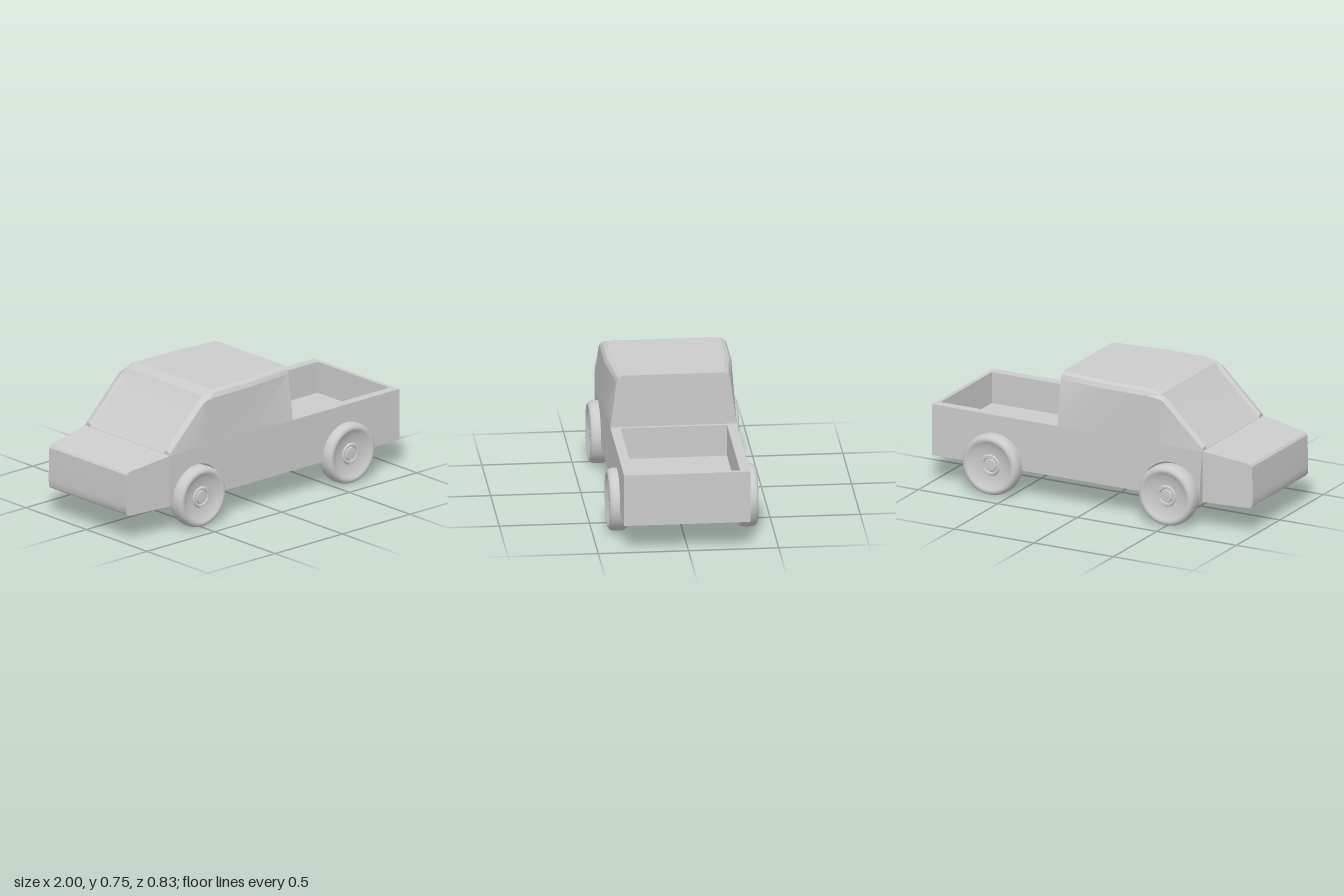
import * as THREE from 'three';
import { toCreasedNormals } from 'three/addons/utils/BufferGeometryUtils.js';

const HALF = 0.35, BASE = 0.16, DECK = 0.455;
const grey = new THREE.MeshStandardMaterial({ color: 0xcccccc });

function part(name, geometry, parent) {
  const mesh = new THREE.Mesh(geometry, grey);
  mesh.name = name;
  parent.add(mesh);
  return mesh;
}

// Side profile extruded across the full width of the body
function extrudeAcross(shape) {
  const g = new THREE.ExtrudeGeometry(shape, { depth: HALF * 2, bevelEnabled: false, curveSegments: 20 });
  return g.translate(0, 0, -HALF);
}

// Bonnet section, narrowing in plan towards the nose
function noseGeometry() {
  const pts = [[-0.7, BASE], [-0.7, DECK], [-0.97, 0.417], [-0.985, 0.413], [-0.995, 0.4],
    [-1, 0.22], [-0.998, 0.18], [-0.99, 0.167], [-0.975, BASE]];
  const g = extrudeAcross(new THREE.Shape(pts.map(p => new THREE.Vector2(...p))));
  const pos = g.attributes.position;
  for (let i = 0; i < pos.count; i++) {
    pos.setZ(i, pos.getZ(i) * (1 - 0.3 * (-0.7 - pos.getX(i))));
  }
  return toCreasedNormals(g, 0.6);
}

// Middle section with the front wheel arch cut through it
function sillGeometry() {
  const s = new THREE.Shape();
  s.moveTo(-0.7, BASE);
  s.absarc(-0.5, 0.18, 0.18, Math.PI + 0.111, -0.111, true);
  s.lineTo(0.21, BASE);
  s.lineTo(0.21, DECK);
  s.lineTo(-0.7, DECK);
  s.closePath();
  return toCreasedNormals(extrudeAcross(s), 0.6);
}

// Cab lofted from half-sections: x, then [z, y] of shoulder, rail and roof or glass edge
function cabGeometry() {
  const sections = [
    [-0.7, [0.348, 0.465], [0.315, 0.479], [0.3, 0.457]],
    [-0.45, [0.349, 0.705], [0.318, 0.724], [0.3, 0.7]],
    [-0.425, [0.35, 0.714], [0.328, 0.732], [0.308, 0.734]],
    [-0.36, [0.35, 0.72], [0.337, 0.744], [0.315, 0.755]],
    [-0.1, [0.35, 0.72], [0.337, 0.744], [0.315, 0.755]],
    [0.21, [0.315, 0.717], [0.305, 0.742], [0.283, 0.756]],
  ];
  const rings = sections.map(([x, ...edge]) => {
    const half = [[HALF, DECK], ...edge];
    return [...half.map(([z, y]) => [x, y, z]), ...half.reverse().map(([z, y]) => [x, y, -z])];
  });
  // Flattened end rings close the front and back
  const flat = ring => ring.map(([x, , z]) => [x, DECK, z]);
  const all = [flat(rings[0]), ...rings, flat(rings[rings.length - 1])];
  const v = [];
  for (let i = 0; i < all.length - 1; i++) {
    for (let j = 0; j < 7; j++) {
      const a = all[i][j], b = all[i + 1][j], c = all[i + 1][j + 1], d = all[i][j + 1];
      v.push(...a, ...b, ...c, ...a, ...c, ...d);
    }
  }
  const g = new THREE.BufferGeometry();
  g.setAttribute('position', new THREE.Float32BufferAttribute(v, 3));
  return toCreasedNormals(g, 0.3);
}

// Rim of the load bed: an outer rectangle with the opening cut out
function bedWallGeometry(floorY) {
  const rect = (T, x0, x1, z) => new T([[x0, -z], [x1, -z], [x1, z], [x0, z]]
    .map(p => new THREE.Vector2(...p)));
  const s = rect(THREE.Shape, 0.21, 1, HALF);
  s.holes.push(rect(THREE.Path, 0.23, 0.975, 0.295));
  const g = new THREE.ExtrudeGeometry(s, { depth: DECK - floorY, bevelEnabled: false });
  return g.rotateX(-Math.PI / 2).translate(0, floorY, 0);
}

// Wheel profile as radius and depth, from the inner face to the hub cap
function wheelGeometry() {
  const pts = [[0, 0.02], [0.11, 0.02], [0.135, 0], [0.155, 0], [0.169, 0.01], [0.174, 0.03],
    [0.175, 0.055], [0.173, 0.08], [0.167, 0.095], [0.157, 0.103], [0.145, 0.104], [0.136, 0.1],
    [0.112, 0.086], [0.062, 0.082], [0.057, 0.09], [0.044, 0.09], [0.039, 0.083],
    [0.035, 0.09], [0, 0.092]];
  const g = new THREE.LatheGeometry(pts.map(p => new THREE.Vector2(...p)), 36);
  return toCreasedNormals(g.rotateX(Math.PI / 2), 0.6);
}

export function createModel() {
  const truck = new THREE.Group();
  truck.name = 'pickupTruck';

  const body = new THREE.Group();
  body.name = 'body';
  body.position.z = 0.007;
  truck.add(body);
  part('nose', noseGeometry(), body);
  part('lowerBody', sillGeometry(), body);
  part('cab', cabGeometry(), body);

  const floorY = 0.275;
  part('bedWalls', bedWallGeometry(floorY), body);
  part('bedFloor', new THREE.BoxGeometry(0.79, floorY - BASE, HALF * 2), body)
    .position.set(0.605, (floorY + BASE) / 2, 0);

  // Front axle
  const axle = part('frontAxle', new THREE.CylinderGeometry(0.08, 0.08, 0.64, 32), truck);
  axle.rotation.x = Math.PI / 2;
  axle.position.set(-0.5, 0.18, 0);

  // Four wheels, turned round on the far side
  const wheel = wheelGeometry();
  for (const [name, x] of [['front', -0.5], ['rear', 0.607]]) {
    for (const side of [1, -1]) {
      const w = part(name + (side > 0 ? 'NearWheel' : 'FarWheel'), wheel, truck);
      w.position.set(x, 0.178, side * 0.309);
      if (side < 0) w.rotation.y = Math.PI;
    }
  }
  return truck;
}
